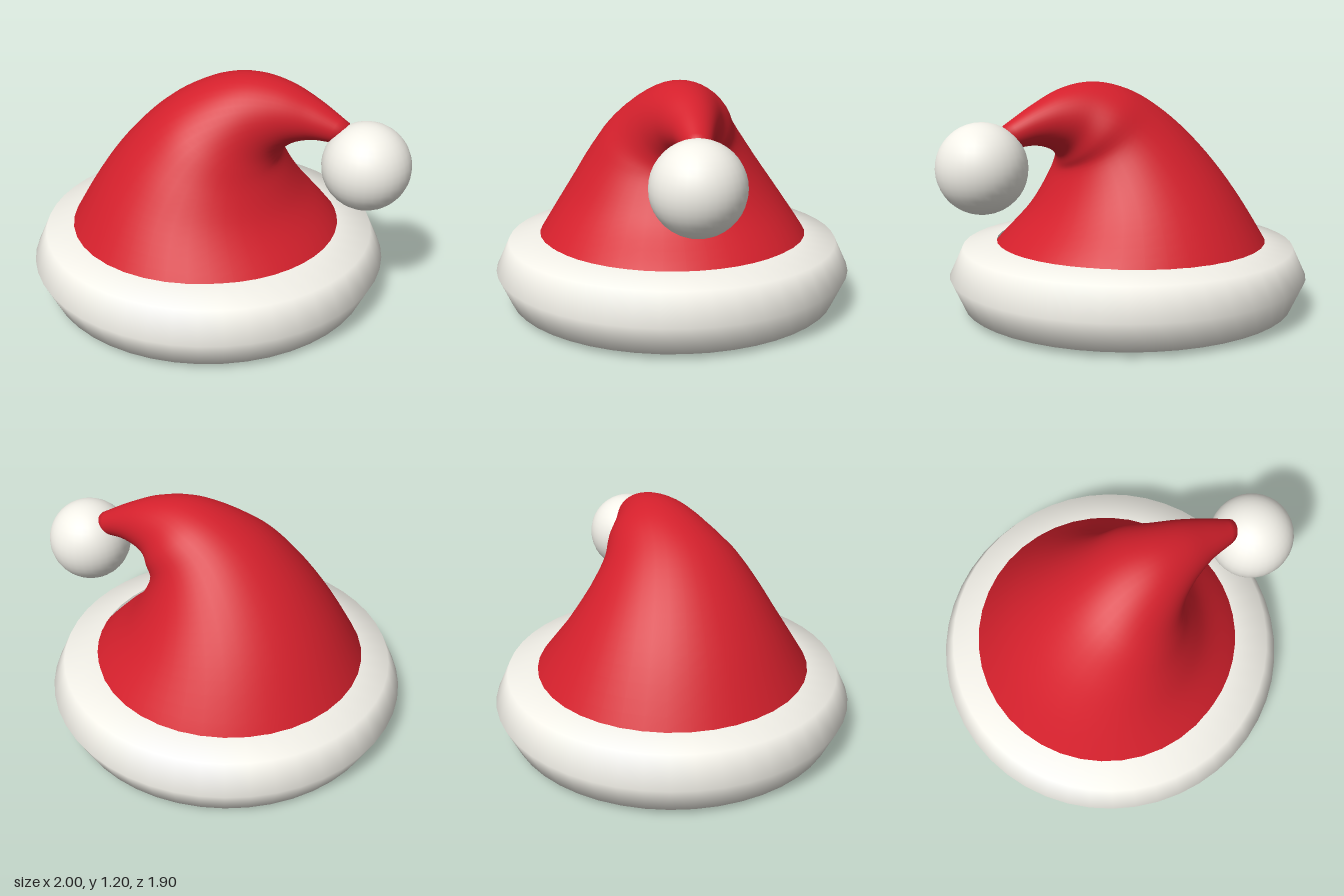
import * as THREE from 'three';

const SIDES = 40;
const RINGS = 44;

// Cross-sections of the cone: outer x, y | inner x, y | centre z, half width in z
const SECTIONS = [
  [-0.86, 0.22, 0.76, 0.22, 0, 0.80],
  [-0.785, 0.36, 0.64, 0.36, 0, 0.72],
  [-0.60, 0.66, 0.47, 0.53, 0.01, 0.565],
  [-0.40, 0.90, 0.385, 0.66, 0.015, 0.44],
  [-0.20, 1.07, 0.345, 0.75, 0.005, 0.345],
  [0.00, 1.17, 0.345, 0.79, -0.035, 0.275],
  [0.18, 1.20, 0.36, 0.83, -0.06, 0.21],
  [0.35, 1.17, 0.41, 0.87, -0.095, 0.155],
  [0.50, 1.10, 0.50, 0.895, -0.13, 0.105],
  [0.665, 1.00, 0.61, 0.89, -0.16, 0.062],
];

const curve = (a, b) =>
  new THREE.CatmullRomCurve3(SECTIONS.map((s) => new THREE.Vector3(s[a], s[b], 0)));

// Bent, tapering cone lofted through the sections and closed at the tip
function coneGeometry() {
  const outer = curve(0, 1), inner = curve(2, 3), depth = curve(4, 5);
  const pos = [], index = [];
  for (let i = 0; i <= RINGS; i++) {
    const t = i / RINGS;
    const o = outer.getPoint(t), n = inner.getPoint(t), d = depth.getPoint(t);
    for (let j = 0; j < SIDES; j++) {
      const a = (j / SIDES) * Math.PI * 2;
      const k = (1 + Math.cos(a)) / 2;
      pos.push(n.x + (o.x - n.x) * k, n.y + (o.y - n.y) * k, d.x + d.y * Math.sin(a));
    }
  }
  pos.push(0.69, 0.92, -0.164);
  const tip = (RINGS + 1) * SIDES;
  for (let i = 0; i <= RINGS; i++) {
    for (let j = 0; j < SIDES; j++) {
      const a = i * SIDES + j, b = i * SIDES + ((j + 1) % SIDES);
      if (i === RINGS) index.push(a, b, tip);
      else index.push(a, b, b + SIDES, a, b + SIDES, a + SIDES);
    }
  }
  const g = new THREE.BufferGeometry();
  g.setAttribute('position', new THREE.Float32BufferAttribute(pos, 3));
  g.setIndex(index);
  g.computeVertexNormals();
  return g;
}

export function createModel() {
  const hat = new THREE.Group();
  hat.name = 'hat';
  const red = new THREE.MeshStandardMaterial({ color: 0xd4202c });
  const white = new THREE.MeshStandardMaterial({ color: 0xf2f0e8, side: THREE.DoubleSide });

  const add = (name, geometry, material, x = 0, y = 0, z = 0) => {
    const mesh = new THREE.Mesh(geometry, material);
    mesh.name = name;
    mesh.position.set(x, y, z);
    hat.add(mesh);
    return mesh;
  };

  add('cone', coneGeometry(), red);

  // Panel closing the bottom of the cone inside the brim
  add('innerPanel', new THREE.CircleGeometry(0.80, SIDES), red, -0.05, 0.22).rotation.x = Math.PI / 2;

  // Hollow fur band, bevelled and turned in at top and bottom
  const profile = [[0.70, 0], [0.88, 0.03], [0.95, 0.185], [0.88, 0.335], [0.70, 0.365]]
    .map(([r, y]) => new THREE.Vector2(r, y));
  add('brim', new THREE.LatheGeometry(profile, 48), white, -0.05);

  add('pompom', new THREE.SphereGeometry(0.222, 32, 20), white, 0.775, 0.80, -0.166);
  return hat;
}
